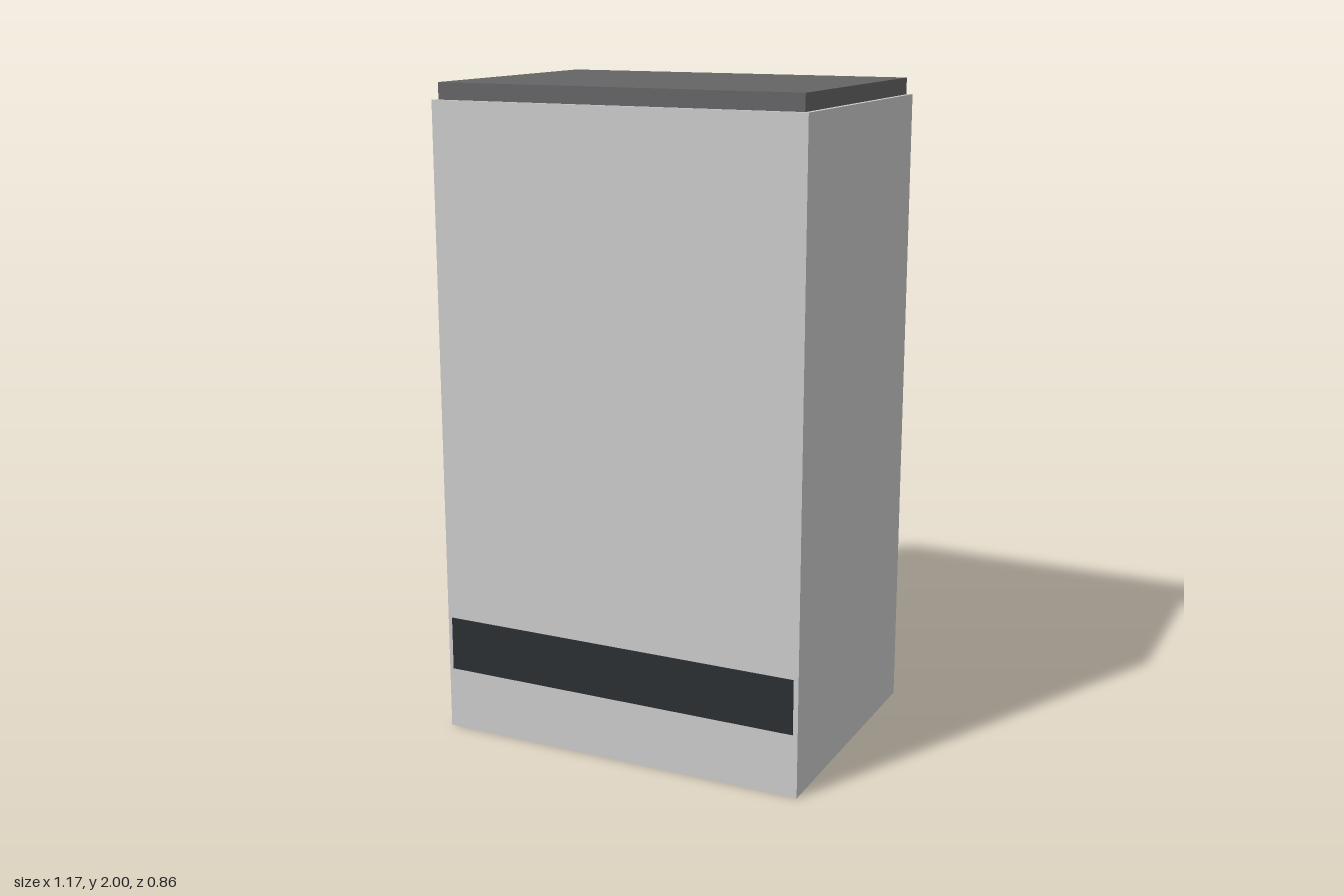
import * as THREE from 'three';

// Box given by its lowest and highest corners
function block(name, min, max, color) {
  const size = max.map((v, i) => v - min[i]);
  const mesh = new THREE.Mesh(
    new THREE.BoxGeometry(...size),
    new THREE.MeshStandardMaterial({ color })
  );
  mesh.position.set(...max.map((v, i) => (v + min[i]) / 2));
  mesh.name = name;
  return mesh;
}

export function createModel() {
  const group = new THREE.Group();
  group.name = 'cabinet';
  group.add(
    // Tall plain housing
    block('body', [-0.586, 0, -0.428], [0.586, 1.95, 0.424], 0xcccccc),
    // Slightly inset dark top
    block('lid', [-0.571, 1.95, -0.414], [0.571, 2, 0.41], 0x646466),
    // Thin dark band low on the front
    block('frontStrip', [-0.571, 0.195, 0.42], [0.571, 0.362, 0.428], 0x2a2f33)
  );
  return group;
}
